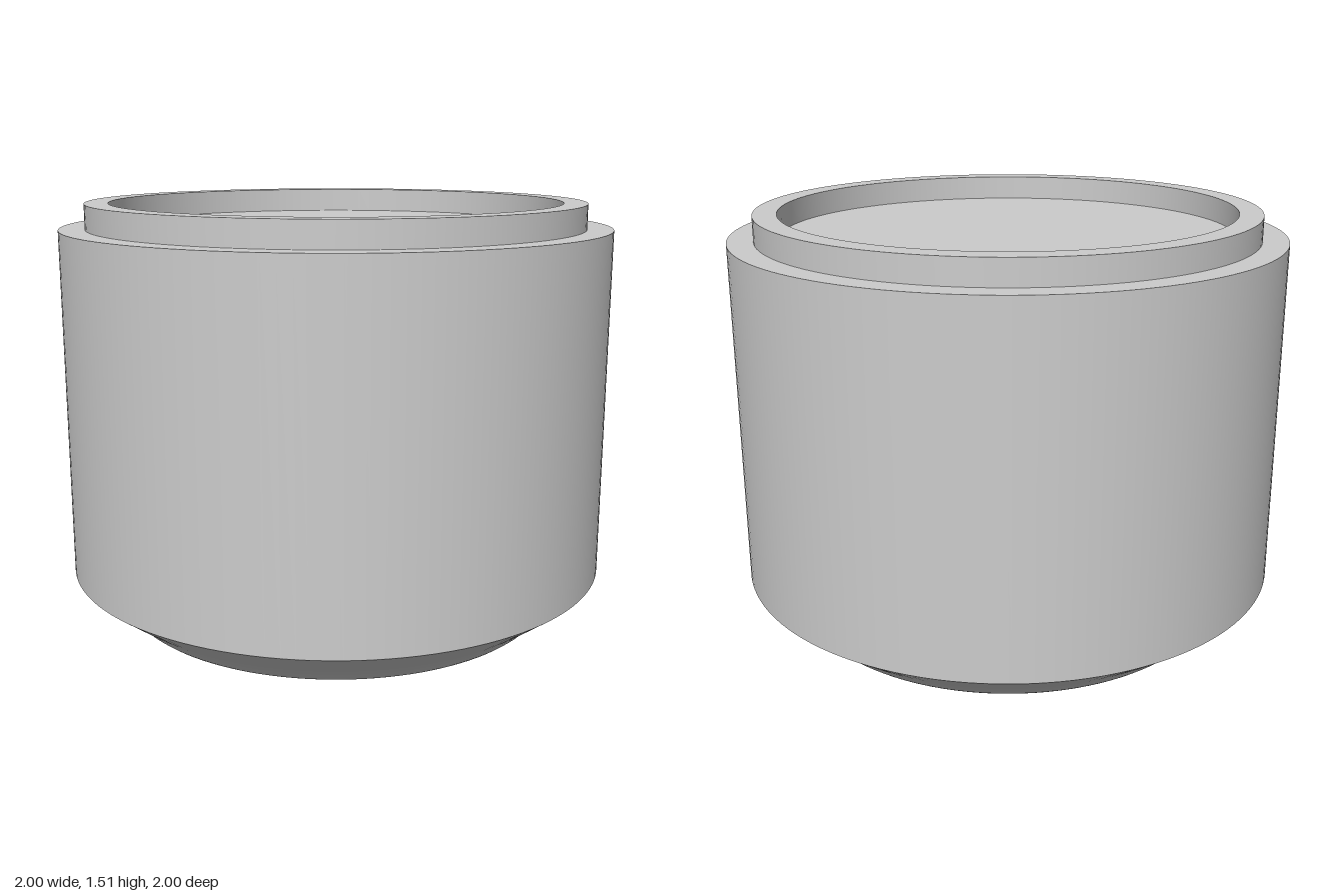
import * as THREE from 'three';

export function createModel() {
  const group = new THREE.Group();
  group.name = 'jar';
  const grey = new THREE.MeshStandardMaterial({ color: 0xcccccc });
  grey.name = 'plain grey';

  // Each profile is a smooth band of [radius, height]; bands meet at sharp edges
  const band = (name, profile) => {
    const points = profile.map(([r, y]) => new THREE.Vector2(r, y));
    const mesh = new THREE.Mesh(new THREE.LatheGeometry(points, 128), grey);
    mesh.name = name;
    group.add(mesh);
  };

  // Domed hollow under the base: a spherical cap that ends at the rounded lip
  const hollow = [];
  const rimAngle = 0.84, rimRadius = 0.77, rimHeight = 0.015;
  const sphere = rimRadius / Math.sin(rimAngle);
  for (let i = 0; i <= 20; i++) {
    const a = rimAngle * i / 20;
    hollow.push([sphere * Math.sin(a), rimHeight + sphere * (Math.cos(a) - Math.cos(rimAngle))]);
  }
  band('baseHollowAndLip', [
    ...hollow, [0.783, 0.004], [0.795, 0],
    [0.805, 0.008], [0.825, 0.029], [0.85, 0.052], [0.89, 0.082], [0.95, 0.127], [1, 0.165],
  ]);

  // Body wall and shoulder
  band('bodyWall', [[1, 0.165], [1, 1.425]]);
  band('shoulder', [[1, 1.425], [0.907, 1.425]]);

  // Raised rim around the recessed top
  band('rimOuterWall', [[0.907, 1.425], [0.907, 1.515]]);
  band('rimTop', [[0.907, 1.515], [0.822, 1.515]]);
  band('rimInnerWall', [[0.822, 1.515], [0.822, 1.425]]);
  band('recessFloor', [[0.822, 1.425], [0, 1.425]]);

  return group;
}
